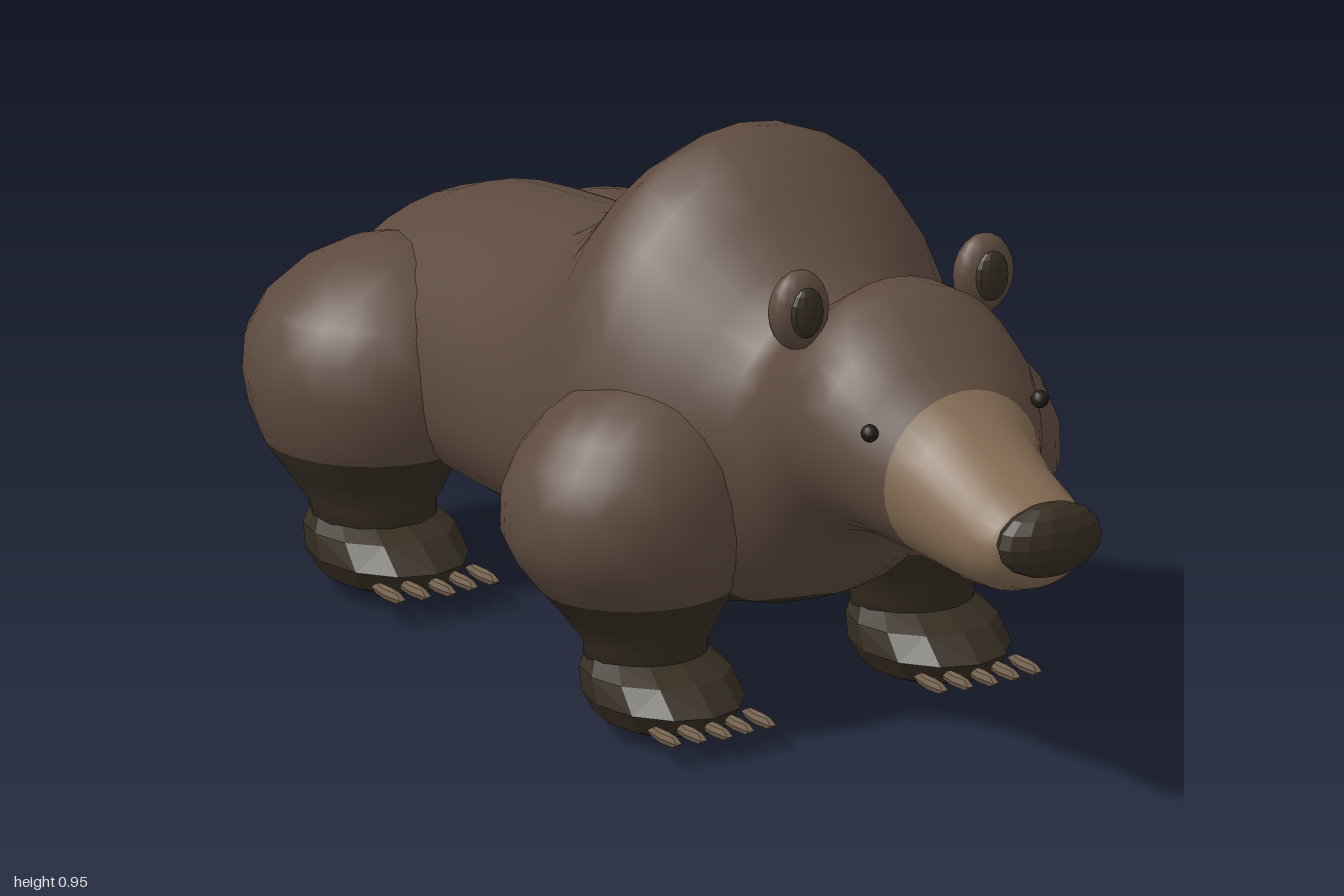
import * as THREE from 'three';

const mat = (name, color, extra = {}) => {
  const m = new THREE.MeshStandardMaterial({ color, ...extra });
  m.name = name;
  return m;
};

// Skin closed rings of points, cap both ends with a fan.
function loft(rings) {
  const n = rings[0].length, pos = [], idx = [];
  rings.forEach(r => r.forEach(p => pos.push(p.x, p.y, p.z)));
  for (let i = 0; i < rings.length - 1; i++) {
    for (let j = 0; j < n; j++) {
      const a = i * n + j, b = i * n + (j + 1) % n, c = b + n, d = a + n;
      if ((i + j) % 2) idx.push(a, b, c, a, c, d);
      else idx.push(a, b, d, b, c, d);
    }
  }
  [0, rings.length - 1].forEach((ri, end) => {
    const mid = new THREE.Vector3();
    rings[ri].forEach(p => mid.addScaledVector(p, 1 / n));
    const centre = pos.length / 3;
    pos.push(mid.x, mid.y, mid.z);
    for (let j = 0; j < n; j++) {
      const a = ri * n + j, b = ri * n + (j + 1) % n;
      if (end) idx.push(centre, a, b); else idx.push(centre, b, a);
    }
  });
  const g = new THREE.BufferGeometry();
  g.setAttribute('position', new THREE.Float32BufferAttribute(pos, 3));
  g.setIndex(idx);
  g.computeVertexNormals();
  return g;
}

// Sort triangles into material groups by a rule on their centre point.
function paint(g, count, rule) {
  const p = g.attributes.position, idx = g.index.array;
  const sets = Array.from({ length: count }, () => []);
  for (let i = 0; i < idx.length; i += 3) {
    const c = new THREE.Vector3(), v = new THREE.Vector3();
    for (let k = 0; k < 3; k++) c.addScaledVector(v.fromBufferAttribute(p, idx[i + k]), 1 / 3);
    sets[rule(c)].push(idx[i], idx[i + 1], idx[i + 2]);
  }
  g.setIndex(sets.flat());
  let start = 0;
  sets.forEach((s, m) => { g.addGroup(start, s.length, m); start += s.length; });
  return g;
}

// Rings stacked upward: [y, centre x, centre z, radius x, radius z]
const upright = (sections, sides, side, dz = 0) => loft(sections.map(([y, cx, cz, rx, rz]) =>
  Array.from({ length: sides }, (_, j) => {
    const t = j / sides * Math.PI * 2;
    return new THREE.Vector3(side * cx + rx * Math.cos(t), y, cz + dz - rz * Math.sin(t));
  })));

// Torso, neck and head: [z, top, bottom, half width, height of widest point]
const BODY = [
  [-0.94, 0.50, 0.30, 0.15, 0.40], [-0.92, 0.54, 0.26, 0.21, 0.40], [-0.86, 0.595, 0.22, 0.25, 0.41],
  [-0.78, 0.625, 0.20, 0.265, 0.42], [-0.68, 0.64, 0.185, 0.275, 0.42], [-0.56, 0.655, 0.18, 0.28, 0.42],
  [-0.44, 0.67, 0.18, 0.285, 0.42], [-0.34, 0.70, 0.185, 0.29, 0.42], [-0.24, 0.755, 0.185, 0.30, 0.43],
  [-0.15, 0.83, 0.185, 0.32, 0.44], [-0.07, 0.91, 0.18, 0.345, 0.46], [0.0, 0.953, 0.18, 0.36, 0.48],
  [0.04, 0.958, 0.18, 0.36, 0.49], [0.10, 0.93, 0.185, 0.35, 0.49], [0.17, 0.865, 0.19, 0.32, 0.48],
  [0.24, 0.795, 0.205, 0.27, 0.48], [0.30, 0.75, 0.23, 0.215, 0.50], [0.34, 0.745, 0.28, 0.195, 0.53],
  [0.40, 0.785, 0.345, 0.20, 0.57], [0.46, 0.82, 0.385, 0.21, 0.60], [0.52, 0.822, 0.40, 0.214, 0.61],
  [0.58, 0.785, 0.41, 0.208, 0.60], [0.64, 0.73, 0.408, 0.182, 0.57], [0.685, 0.69, 0.402, 0.15, 0.545],
  [0.73, 0.655, 0.397, 0.13, 0.525], [0.80, 0.615, 0.395, 0.12, 0.505], [0.87, 0.588, 0.402, 0.112, 0.495],
  [0.92, 0.57, 0.42, 0.098, 0.495], [0.94, 0.55, 0.445, 0.075, 0.495],
];
const bodyRing = ([z, top, bottom, w, mid]) => Array.from({ length: 32 }, (_, j) => {
  const t = j / 32 * Math.PI * 2, c = Math.cos(t), s = Math.sin(t);
  const flat = s < 0 && z < 0.3 ? 0.8 : 1; // fuller belly
  const x = w * Math.sign(c) * Math.abs(c) ** flat;
  const y = s > 0 ? mid + (top - mid) * s : mid - (mid - bottom) * Math.abs(s) ** flat;
  return new THREE.Vector3(x, y, z);
});

const FRONT_LEG = [
  [0.09, 0.255, 0.12, 0.10, 0.10], [0.15, 0.255, 0.12, 0.103, 0.10], [0.20, 0.26, 0.12, 0.135, 0.122],
  [0.25, 0.272, 0.125, 0.168, 0.155], [0.30, 0.285, 0.125, 0.195, 0.18], [0.35, 0.295, 0.125, 0.21, 0.195],
  [0.42, 0.292, 0.125, 0.21, 0.197], [0.48, 0.277, 0.125, 0.20, 0.18], [0.53, 0.262, 0.125, 0.175, 0.15],
  [0.57, 0.25, 0.125, 0.135, 0.11], [0.595, 0.24, 0.125, 0.07, 0.06],
];
const HIND_LEG = [
  [0.09, 0.255, -0.71, 0.10, 0.10], [0.15, 0.255, -0.72, 0.105, 0.105], [0.20, 0.252, -0.735, 0.14, 0.14],
  [0.25, 0.248, -0.74, 0.177, 0.178], [0.30, 0.243, -0.74, 0.20, 0.205], [0.36, 0.24, -0.74, 0.214, 0.217],
  [0.42, 0.238, -0.74, 0.212, 0.213], [0.48, 0.23, -0.74, 0.19, 0.185], [0.53, 0.217, -0.74, 0.145, 0.14],
  [0.56, 0.205, -0.74, 0.09, 0.09], [0.575, 0.20, -0.74, 0.04, 0.04],
];
const PAW = [
  [0.004, 0.255, 0.17, 0.035, 0.045], [0.035, 0.255, 0.175, 0.105, 0.13], [0.07, 0.255, 0.175, 0.125, 0.155],
  [0.11, 0.255, 0.15, 0.122, 0.13], [0.132, 0.255, 0.125, 0.10, 0.10],
];

export function createModel() {
  const fur = mat('brown fur', 0x5e4b3f);
  const darkFur = mat('dark underside fur', 0x352d21);
  const tan = mat('tan muzzle fur', 0x836b53);
  const dark = mat('dark skin', 0x352d21, { flatShading: true });
  const claw = mat('claw', 0x75624f, { flatShading: true });
  const tailFur = mat('tail fur', 0x836b53, { flatShading: true });
  const eye = mat('eye', 0x211a14);

  const root = new THREE.Group();
  root.name = 'bear';
  const add = (name, geometry, material) => {
    const m = new THREE.Mesh(geometry, material);
    m.name = name;
    root.add(m);
    return m;
  };
  const blob = (name, material, at, radii, w = 16, h = 10) => {
    const m = add(name, new THREE.SphereGeometry(1, w, h), material);
    m.position.set(...at);
    m.scale.set(...radii);
    return m;
  };

  add('body', paint(loft(BODY.map(bodyRing)), 3, c => c.z > 0.7 ? 2 : c.y < 0.235 ? 1 : 0),
    [fur, darkFur, tan]);
  blob('nose', dark, [0, 0.513, 0.953], [0.098, 0.063, 0.047], 14, 8);
  blob('tail', tailFur, [0, 0.375, -0.94], [0.042, 0.055, 0.06], 6, 4).rotation.x = 0.15;

  for (const s of [1, -1]) {
    const side = s > 0 ? 'left' : 'right';
    blob(side + 'Ear', fur, [s * 0.177, 0.798, 0.465], [0.055, 0.068, 0.033]);
    blob(side + 'InnerEar', dark, [s * 0.177, 0.80, 0.492], [0.031, 0.043, 0.016], 12, 8);
    blob(side + 'Eye', eye, [s * 0.163, 0.64, 0.662], [0.015, 0.015, 0.015], 10, 8);

    // Legs, paws and five claws each
    for (const [part, leg, dz] of [['Front', FRONT_LEG, 0], ['Hind', HIND_LEG, -0.85]]) {
      add(side + part + 'Leg', paint(upright(leg, 24, s), 2, c => c.y < 0.235 ? 1 : 0), [fur, darkFur]);
      add(side + part + 'Paw', upright(PAW, 12, s, dz), dark);
      for (let i = -2; i <= 2; i++) {
        const z = 0.335 - Math.abs(i) * 0.006 + dz;
        blob(side + part + 'Claw', claw, [s * 0.255 + i * 0.045, 0.052, z], [0.011, 0.012, 0.052], 6, 4);
      }
    }
  }
  return root;
}
